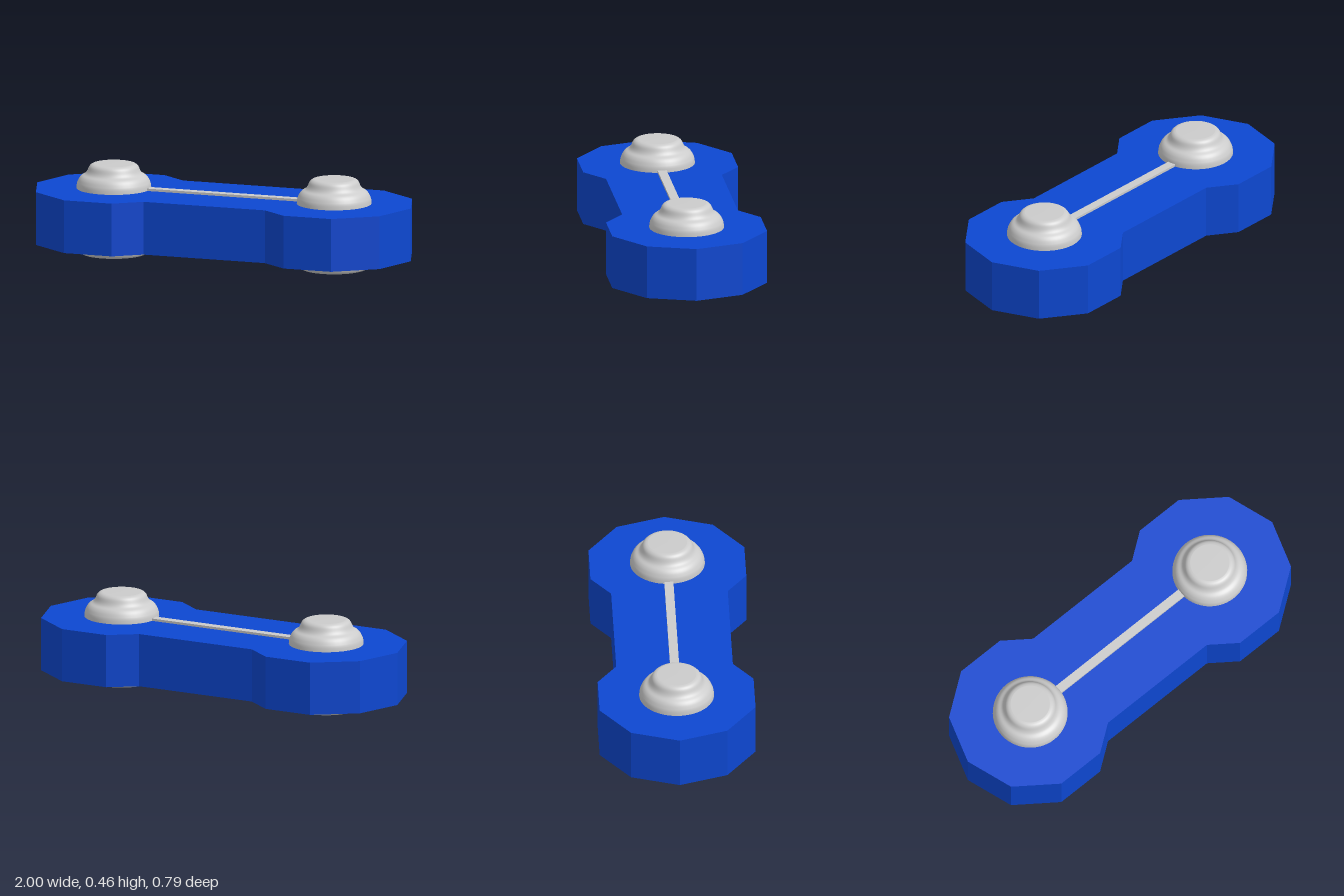
import * as THREE from 'three';

const BOTTOM = 0.065, TOP = 0.336, PIN_X = 0.59;

// Mirrors one quadrant of the outline into the full closed contour
function linkShape() {
  const q = [[1, 0], [0.92, 0.243], [0.715, 0.393], [0.46, 0.393], [0.325, 0.294]];
  const half = [...q, ...q.map(([x, y]) => [-x, y]).reverse()];
  const lower = half.slice(1, -1).map(([x, y]) => [x, -y]).reverse();
  return new THREE.Shape([...half, ...lower].map(([x, y]) => new THREE.Vector2(x, y)));
}

// Rounded stepped pin with a dished underside, from the recess out and up to the crown
function pinGeometry() {
  const wall = new THREE.SplineCurve([
    [0.1, 0.055], [0.128, 0.045], [0.143, 0.02], [0.152, 0.004], [0.167, 0.004],
    [0.178, 0.022], [0.189, 0.065], [0.191, 0.2], [0.189, 0.336], [0.18, 0.375],
    [0.165, 0.397], [0.145, 0.41], [0.134, 0.424], [0.124, 0.446], [0.112, 0.457], [0.098, 0.461],
  ].map(([r, y]) => new THREE.Vector2(r, y)));
  const profile = [
    new THREE.Vector2(0, 0.06), ...wall.getPoints(60), new THREE.Vector2(0, 0.462),
  ];
  return new THREE.LatheGeometry(profile, 48);
}

export function createModel() {
  const group = new THREE.Group();
  const blue = new THREE.MeshStandardMaterial({ color: 0x0d47d1, flatShading: true });
  const grey = new THREE.MeshStandardMaterial({ color: 0xcccccc });

  // Faceted link plate
  const plateGeo = new THREE.ExtrudeGeometry(linkShape(), { depth: TOP - BOTTOM, bevelEnabled: false });
  plateGeo.rotateX(-Math.PI / 2).translate(0, BOTTOM, 0);
  const plate = new THREE.Mesh(plateGeo, blue);
  plate.name = 'linkPlate';
  group.add(plate);

  // Pins at both ends
  const pinGeo = pinGeometry();
  for (const side of [-1, 1]) {
    const pin = new THREE.Mesh(pinGeo, grey);
    pin.name = side > 0 ? 'leftPin' : 'rightPin';
    pin.position.x = side * PIN_X;
    group.add(pin);
  }

  // Thin rod joining the pins across the top
  const rod = new THREE.Mesh(new THREE.BoxGeometry(0.84, 0.04, 0.046), grey);
  rod.name = 'connectingRod';
  rod.position.y = 0.328;
  group.add(rod);

  return group;
}
